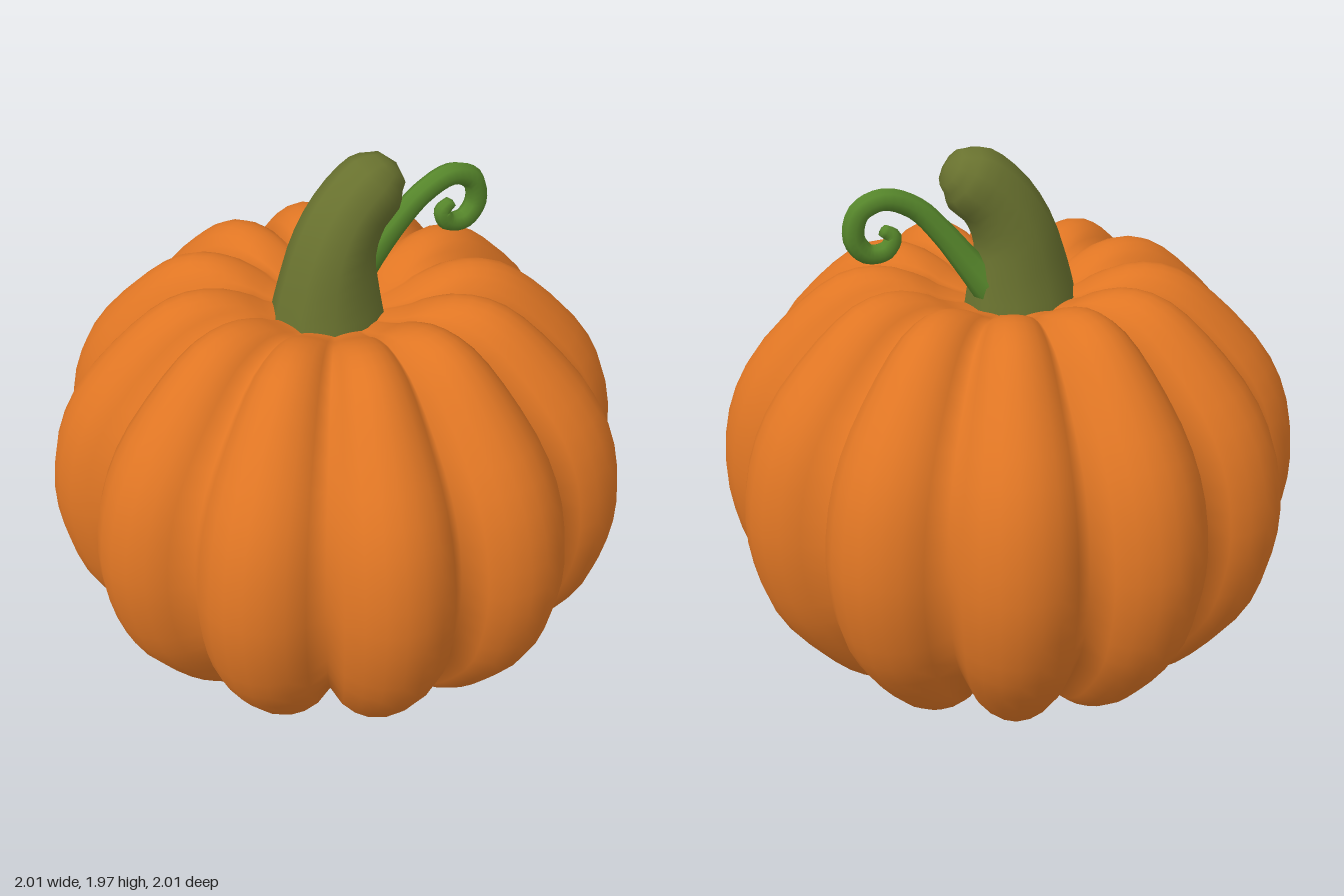
import * as THREE from 'three';
import { mergeVertices } from 'three/addons/utils/BufferGeometryUtils.js';

const LOBES = 12;

// Ribbed body: a lathe of the rib profile, pulled inwards along each groove
function bodyGeometry() {
  const profile = new THREE.SplineCurve([
    [0, 0.09], [0.22, 0.07], [0.38, 0.02], [0.52, 0.01], [0.66, 0.08], [0.79, 0.2],
    [0.94, 0.4], [1.01, 0.6], [1.033, 0.8], [1.0, 1.02], [0.91, 1.21], [0.75, 1.39],
    [0.6, 1.505], [0.46, 1.535], [0.33, 1.5], [0.22, 1.44], [0, 1.38],
  ].map(([r, y]) => new THREE.Vector2(r, y))).getPoints(36);
  profile[0].x = profile[36].x = 0;
  let geo = new THREE.LatheGeometry(profile, LOBES * 8);
  const pos = geo.attributes.position;
  for (let i = 0; i < pos.count; i++) {
    const x = pos.getX(i), y = pos.getY(i), z = pos.getZ(i);
    const angle = Math.atan2(x, z);
    const groove = 1 - Math.pow(Math.abs(Math.sin(angle * LOBES / 2)), 0.75);
    const fade = THREE.MathUtils.smoothstep(Math.hypot(x, z), 0.1, 0.55);
    const k = groove * fade;
    pos.setXYZ(i, x * (1 - 0.14 * k), 0.77 + (y - 0.77) * (1 - 0.1 * k), z * (1 - 0.14 * k));
  }
  geo.deleteAttribute('uv');
  geo.deleteAttribute('normal');
  geo = mergeVertices(geo, 1e-4);
  geo.computeVertexNormals();
  return geo;
}

// Sweep oval rings along a path; each section is [x, y, z, in-plane radius, z radius]
function sweep(sections, sides, steps) {
  const path = new THREE.CatmullRomCurve3(sections.map(s => new THREE.Vector3(s[0], s[1], s[2])));
  const radii = new THREE.SplineCurve(sections.map(s => new THREE.Vector2(s[3], s[4])));
  const verts = [], index = [];
  const addRing = (c, t, a, b) => {
    const len = Math.hypot(t.x, t.y);
    for (let j = 0; j < sides; j++) {
      const q = j / sides * Math.PI * 2, n = Math.cos(q) * a;
      verts.push(c.x - t.y / len * n, c.y + t.x / len * n, c.z + Math.sin(q) * b);
    }
  };
  for (let i = 0; i <= steps; i++) {
    const r = radii.getPoint(i / steps);
    addRing(path.getPoint(i / steps), path.getTangent(i / steps), r.x, r.y);
  }
  // Close the far end with a slightly domed tip
  const tip = path.getPoint(1), dir = path.getTangent(1), last = radii.getPoint(1);
  tip.addScaledVector(dir, last.x * 0.3);
  addRing(tip, dir, 0, 0);
  for (let i = 0; i <= steps; i++) {
    for (let j = 0; j < sides; j++) {
      const a = i * sides + j, b = i * sides + (j + 1) % sides;
      index.push(a, b, b + sides, a, b + sides, a + sides);
    }
  }
  let geo = new THREE.BufferGeometry();
  geo.setAttribute('position', new THREE.Float32BufferAttribute(verts, 3));
  geo.setIndex(index);
  geo = mergeVertices(geo, 1e-5);
  geo.computeVertexNormals();
  return geo;
}

export function createModel() {
  const material = (name, color) => {
    const m = new THREE.MeshStandardMaterial({ color });
    m.name = name;
    return m;
  };
  const group = new THREE.Group();
  group.name = 'pumpkin';
  const add = (name, geo, mat) => {
    const mesh = new THREE.Mesh(geo, mat);
    mesh.name = name;
    group.add(mesh);
  };

  add('body', bodyGeometry(), material('orange skin', 0xe07624));

  // Thick stem leaning towards +x with a rounded end
  add('stem', sweep([
    [-0.04, 1.34, 0, 0.215, 0.2],
    [-0.035, 1.5, 0, 0.185, 0.17],
    [-0.015, 1.66, 0, 0.148, 0.15],
    [0.05, 1.79, 0, 0.13, 0.132],
    [0.145, 1.875, 0, 0.122, 0.115],
    [0.205, 1.915, 0, 0.07, 0.07],
  ], 10, 14), material('olive stem', 0x69722f));

  // Tapering tendril that curls in on itself
  add('tendril', sweep([
    [0.06, 1.46, -0.05, 0.07, 0.07],
    [0.15, 1.57, -0.035, 0.052, 0.05],
    [0.24, 1.69, -0.015, 0.043, 0.042],
    [0.33, 1.785, 0, 0.04, 0.04],
    [0.44, 1.828, 0, 0.04, 0.04],
    [0.525, 1.79, 0, 0.04, 0.04],
    [0.545, 1.7, 0, 0.038, 0.04],
    [0.5, 1.64, 0, 0.036, 0.038],
    [0.435, 1.645, 0, 0.034, 0.034],
    [0.41, 1.69, 0, 0.03, 0.03],
    [0.445, 1.72, 0, 0.022, 0.022],
  ], 8, 40), material('green tendril', 0x56862b));

  return group;
}
